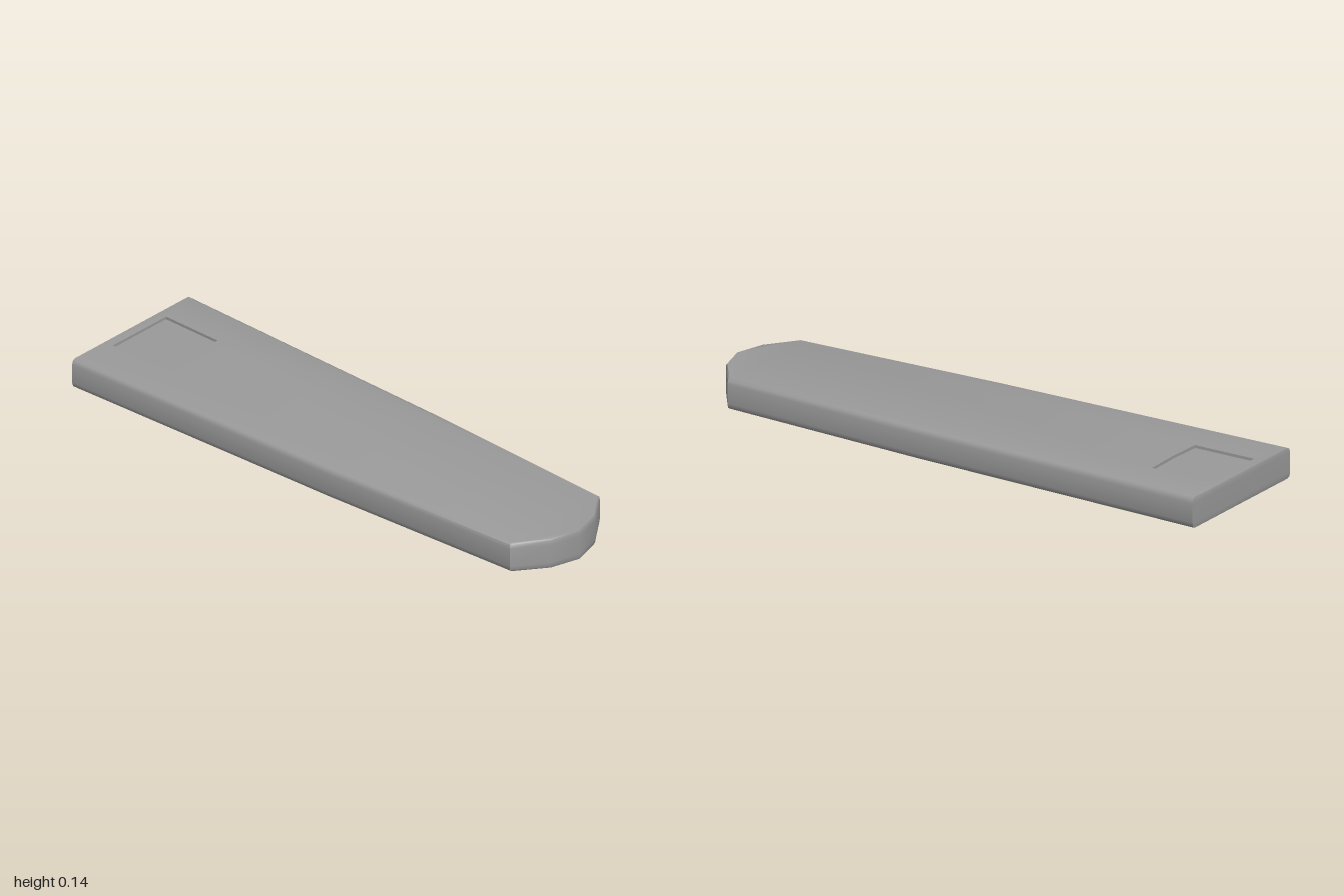
import * as THREE from 'three';
import { mergeGeometries, toCreasedNormals } from 'three/addons/utils/BufferGeometryUtils.js';

const material = new THREE.MeshStandardMaterial({ color: 0x9a9a9a });
const V = (x, y, z) => new THREE.Vector3(x, y, z);

// Skins closed rings of points; optionally closes the convex ends with fans.
function loft(rings, caps = false) {
  const n = rings[0].length;
  const index = [];
  for (let i = 0; i < rings.length - 1; i++) {
    for (let j = 0; j < n; j++) {
      const a = i * n + j, b = i * n + (j + 1) % n;
      index.push(a, b, b + n, a, b + n, a + n);
    }
  }
  if (caps) {
    const last = (rings.length - 1) * n;
    for (let j = 1; j < n - 1; j++) {
      index.push(0, j + 1, j, last, last + j, last + j + 1);
    }
  }
  const geometry = new THREE.BufferGeometry().setFromPoints(rings.flat());
  geometry.setIndex(index);
  return geometry.toNonIndexed();
}

// Flat horizontal face through [x, z] points, facing up (1) or down (-1).
function face(points, y, facing, hole) {
  const plan = (list) => list.map(([x, z]) => new THREE.Vector2(x, -facing * z));
  const shape = new THREE.Shape(plan(points));
  if (hole) shape.holes.push(new THREE.Path(plan(hole)));
  const geometry = new THREE.ShapeGeometry(shape).toNonIndexed();
  geometry.deleteAttribute('uv');
  geometry.deleteAttribute('normal');
  return geometry.rotateX(-facing * Math.PI / 2).translate(0, y, 0);
}

// Creases at a larger scale, so that close points of the small bevels stay apart.
function crease(geometry, angle) {
  return toCreasedNormals(geometry.scale(100, 100, 100), angle).scale(0.01, 0.01, 0.01);
}

export function createModel() {
  const group = new THREE.Group();
  const add = (name, geometry, angle) => {
    const mesh = new THREE.Mesh(crease(geometry, angle), material);
    mesh.name = name;
    group.add(mesh);
  };

  // Tapered plan outline, [x, z], back left round the pointed front to back right
  const half = [[-0.288, -1], [-0.258, 0.12], [-0.22, 0.89], [-0.11, 0.97]];
  const outline = [...half, [0, 1], ...half.map(([x, z]) => [-x, z]).reverse()];

  // Softened edge rows: [height, x scale, z scale]
  const rows = [
    [0.034, 0.955, 0.998], [0.039, 0.985, 0.9995], [0.055, 1, 1],
    [0.122, 1, 1], [0.137, 0.985, 0.9995], [0.142, 0.955, 0.998],
  ];
  const rings = rows.map(([y, sx, sz]) => outline.map(([x, z]) => V(x * sx, y, z * sz)));
  const edge = rings[5].map((p) => [p.x, p.z]);

  // Shallow rectangular recess near the back of the top
  const recess = [[-0.13, -0.963], [-0.127, -0.731], [0, -0.727], [0.127, -0.731], [0.13, -0.963]];
  const top = 0.142, floor = 0.132;

  add('board', mergeGeometries([
    loft(rings), face(edge, top, 1, recess), face(edge, 0.034, -1),
  ]), 0.85);
  add('recess', mergeGeometries([
    loft([top, floor].map((y) => recess.map(([x, z]) => V(x, y, z)))), face(recess, floor, 1),
  ]), 0.3);

  // Two rounded rails below, spreading slightly towards the back
  const profile = [[-0.03, 0.038], [-0.024, 0.013], [-0.009, 0], [0.009, 0], [0.024, 0.013], [0.03, 0.038]];
  const rail = (name, backX, frontX) => add(name, loft(
    [[backX, -0.895], [frontX, 0.35]].map(([cx, z]) => profile.map(([x, y]) => V(cx + x, y, z))),
    true), 0.95);
  rail('leftRail', 0.129, 0.119);
  rail('rightRail', -0.134, -0.126);

  return group;
}
